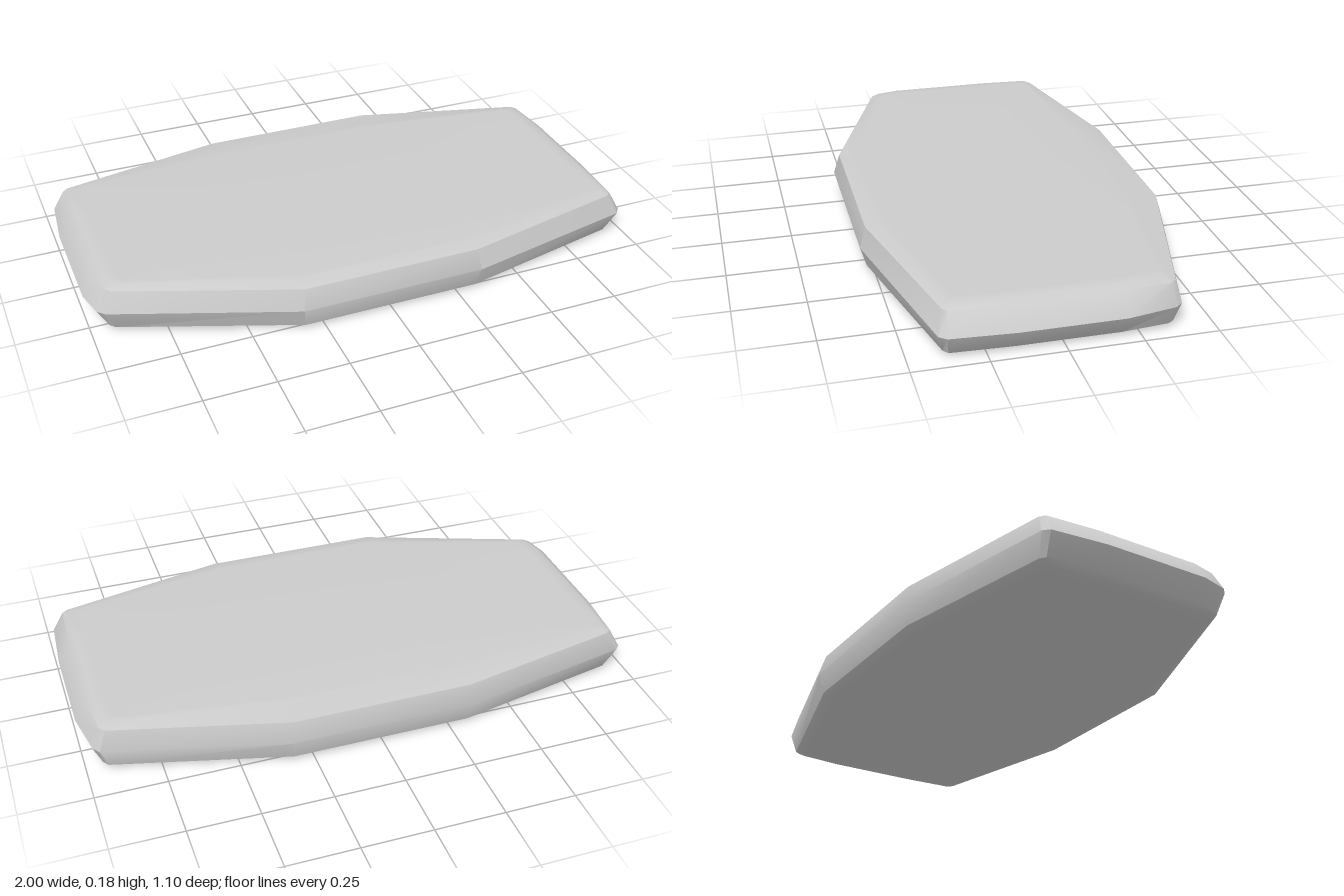
import * as THREE from 'three';
import { toCreasedNormals } from 'three/addons/utils/BufferGeometryUtils.js';

// Outlines as [x, z], running from the right end round the back, left end and front
const girdle = [
  [-1, -0.2], [-0.98, -0.4], [-0.96, -0.42], [-0.33, -0.55], [0.33, -0.55], [0.95, -0.385], [0.97, -0.36],
  [1, -0.19], [1, 0.16], [0.985, 0.38], [0.965, 0.405], [0.33, 0.545], [-0.33, 0.545], [-0.95, 0.315], [-0.975, 0.29], [-1, 0.19],
];
const shoulder = [
  [-0.955, -0.2], [-0.94, -0.39], [-0.92, -0.405], [-0.32, -0.53], [0.32, -0.53], [0.925, -0.37], [0.94, -0.35],
  [0.955, -0.19], [0.955, 0.16], [0.945, 0.37], [0.925, 0.385], [0.32, 0.523], [-0.32, 0.523], [-0.92, 0.298], [-0.935, 0.28], [-0.955, 0.19],
];
const topEdge = [
  [-0.93, -0.2], [-0.918, -0.375], [-0.9, -0.385], [-0.31, -0.43], [0.31, -0.43], [0.9, -0.345], [0.918, -0.335],
  [0.93, -0.19], [0.93, 0.16], [0.92, 0.355], [0.9, 0.365], [0.31, 0.478], [-0.31, 0.478], [-0.9, 0.282], [-0.912, 0.27], [-0.93, 0.19],
];
const scaled = (ring, sx, sz) => ring.map(([x, z]) => [x * sx, z * sz]);

// Joins rings stacked from bottom to top and closes both ends
function loft(layers) {
  const rings = layers.map(([y, ring]) => ring.map(([x, z]) => [x, y, z]));
  const n = rings[0].length;
  const last = rings[rings.length - 1];
  const out = [];
  const tri = (a, b, c) => out.push(...a, ...b, ...c);
  for (let i = 0; i < n; i++) {
    const j = (i + 1) % n;
    for (let k = 0; k < rings.length - 1; k++) {
      const lower = rings[k], upper = rings[k + 1];
      tri(lower[j], lower[i], upper[i]);
      tri(lower[j], upper[i], upper[j]);
    }
    tri([0, layers[0][0], 0], rings[0][i], rings[0][j]);
    tri([0, last[0][1], 0], last[j], last[i]);
  }
  const geometry = new THREE.BufferGeometry();
  geometry.setAttribute('position', new THREE.Float32BufferAttribute(out, 3));
  return toCreasedNormals(geometry, 0.6);
}

export function createModel() {
  const group = new THREE.Group();
  group.name = 'slab';

  // Flat body with a pointed rim and softened faces
  const body = new THREE.Mesh(
    loft([
      [0, scaled(shoulder, 0.94, 0.93)],
      [0.001, scaled(shoulder, 0.975, 0.962)],
      [0.015, shoulder],
      [0.089, girdle],
      [0.163, shoulder],
      [0.176, topEdge],
      [0.177, scaled(topEdge, 0.96, 0.96)],
    ]),
    new THREE.MeshStandardMaterial({ color: 0xcccccc }),
  );
  body.name = 'slabBody';
  group.add(body);
  return group;
}
